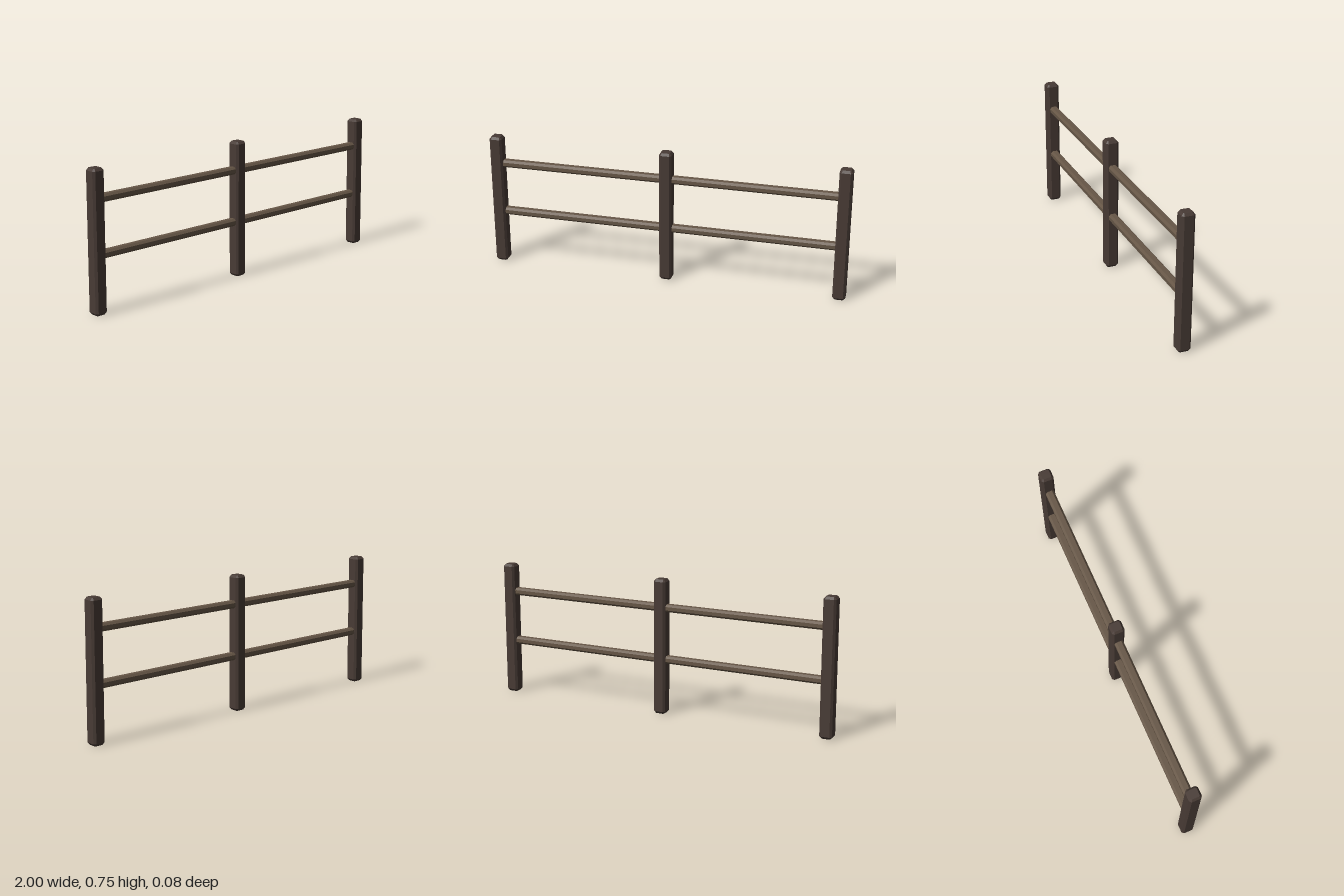
import * as THREE from 'three';

// Eight-sided outline: a rectangle with cut corners
function cutRectangle(width, depth, cut) {
  const x = width / 2, y = depth / 2;
  return new THREE.Shape([
    [x, -y + cut], [x, y - cut], [x - cut, y], [-x + cut, y],
    [-x, y - cut], [-x, -y + cut], [-x + cut, -y], [x - cut, -y],
  ].map(([a, b]) => new THREE.Vector2(a, b)));
}

// Chamfered timber, centred, with its length along z
function timber(width, depth, length, cut, endCut) {
  const geometry = new THREE.ExtrudeGeometry(cutRectangle(width, depth, cut), {
    depth: length - 2 * endCut,
    bevelEnabled: true, bevelSegments: 1,
    bevelThickness: endCut, bevelSize: endCut * 0.8, bevelOffset: -endCut * 0.8,
  });
  return geometry.translate(0, 0, endCut - length / 2);
}

export function createModel() {
  const fence = new THREE.Group();
  fence.name = 'fence';
  const postWood = new THREE.MeshStandardMaterial({ color: 0x483b35 });
  const railWood = new THREE.MeshStandardMaterial({ color: 0x665646 });
  postWood.name = 'dark post wood';
  railWood.name = 'brown rail wood';
  postWood.flatShading = railWood.flatShading = true;

  // Upright posts, each leaning very slightly
  const height = 0.754;
  const postGeometry = timber(0.07, 0.071, height, 0.011, 0.013).rotateX(-Math.PI / 2);
  const posts = [
    ['rightPost', -0.964, 0.003, -0.003],
    ['middlePost', 0, 0.001, 0.001],
    ['leftPost', 0.964, -0.006, 0.003],
  ];
  for (const [name, x, leanX, leanZ] of posts) {
    const post = new THREE.Mesh(postGeometry, postWood);
    post.name = name;
    post.position.set(x, height / 2, 0);
    post.rotation.set(leanX, 0, leanZ);
    fence.add(post);
  }

  // Horizontal rails running through the posts
  const railGeometry = timber(0.048, 0.041, 1.93, 0.011, 0.005).rotateY(Math.PI / 2);
  for (const [name, y] of [['lowerRail', 0.308], ['upperRail', 0.596]]) {
    const rail = new THREE.Mesh(railGeometry, railWood);
    rail.name = name;
    rail.position.y = y;
    fence.add(rail);
  }
  return fence;
}
